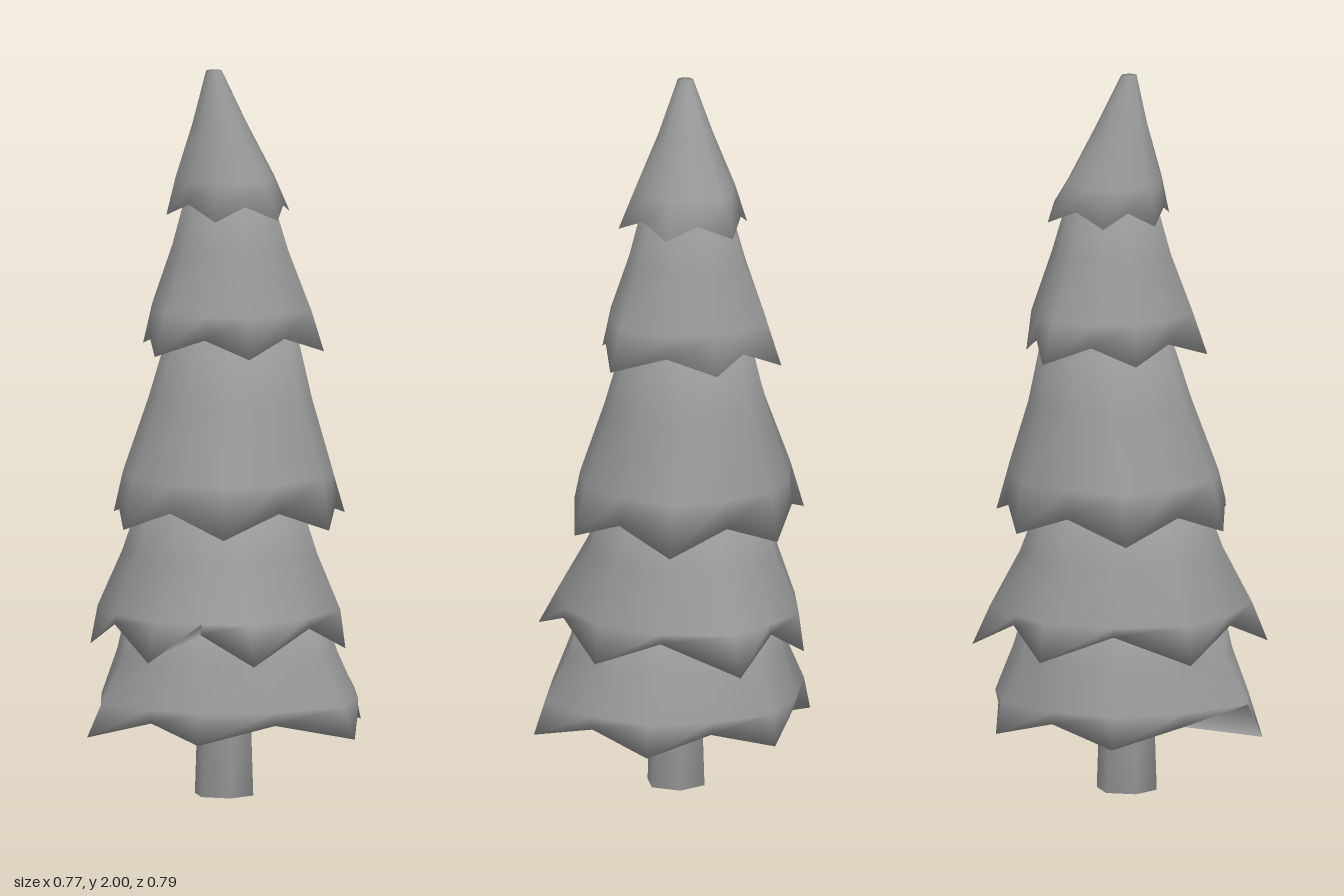
import * as THREE from 'three';

const { lerp, degToRad } = THREE.MathUtils;
const material = new THREE.MeshStandardMaterial({ color: 0x999999, side: THREE.DoubleSide });

// Top and hem: height y and centre x, z. tips: angle in degrees. reach: length of each tip.
const tiers = [
  { name: 'bottomTier', top: [0.52, -0.025, 0.01], topRadius: 0.27, hem: [0.185, 0, 0], lift: 0.05, tips: [18, 88, 136, 200, 260, 319], reach: [0.405, 0.37, 0.45, 0.395, 0.376, 0.375] },
  { name: 'lowerTier', top: [0.82, -0.04, 0], topRadius: 0.22, hem: [0.41, -0.04, 0], lift: 0.08, tips: [-7, 60, 102, 166, 238, 286], reach: [0.347, 0.43, 0.4, 0.358, 0.348, 0.41] },
  { name: 'middleTier', top: [1.28, -0.02, -0.04], topRadius: 0.175, hem: [0.75, -0.03, -0.01], lift: 0.06, tips: [13, 73, 133, 194, 256, 314], reach: [0.33, 0.36, 0.32, 0.36, 0.325, 0.37] },
  { name: 'upperTier', top: [1.66, -0.025, -0.025], topRadius: 0.12, hem: [1.23, -0.02, -0.035], lift: 0.05, tips: [0, 61, 121, 180, 238, 286], reach: [0.265, 0.25, 0.28, 0.255, 0.276, 0.223] },
  { name: 'topTier', top: [2, -0.055, 0.015], topRadius: 0.022, hem: [1.6, -0.025, -0.03], lift: 0.04, tips: [28, 85, 153, 204, 265, 328], reach: [0.19, 0.175, 0.175, 0.17, 0.185, 0.17] },
];

// Closed ring around a centre; radius and rise are given per column
function makeRing([y, x, z], angles, radiusAt, riseAt = () => 0) {
  return angles.map((angle, i) => {
    const a = degToRad(angle);
    const r = radiusAt(i);
    return new THREE.Vector3(x + r * Math.cos(a), y + riseAt(i), z + r * Math.sin(a));
  });
}

// Smooth skin over rings, from the top down
function makeSkin(name, rings) {
  const n = rings[0].length;
  const index = [];
  for (let j = 0; j < rings.length - 1; j++) {
    for (let i = 0; i < n; i++) {
      const a = j * n + i;
      const b = j * n + (i + 1) % n;
      index.push(a, b, b + n, a, b + n, a + n);
    }
  }
  const geometry = new THREE.BufferGeometry().setFromPoints(rings.flat());
  geometry.setIndex(index);
  geometry.computeVertexNormals();
  const mesh = new THREE.Mesh(geometry, material);
  mesh.name = name;
  return mesh;
}

function makeTier({ name, top, topRadius, hem, lift, tips, reach }, under, underRadius) {
  // Tips on even columns, shorter raised valleys between them
  const angles = tips.flatMap((a, k) => [a, (a + (k < 5 ? tips[k + 1] : tips[0] + 360)) / 2]);
  const hemRadii = reach.flatMap((r, k) => [r, 0.435 * (r + reach[(k + 1) % 6])]);
  const mean = hemRadii.reduce((sum, r) => sum + r, 0) / hemRadii.length;

  // Body widens downwards and turns from round to the hem outline
  const bodyRing = (t, pull, bulge = 1) => {
    const r = lerp(topRadius, mean, t) * bulge;
    const centre = top.map((v, k) => lerp(v, hem[k], t));
    return makeRing(centre, angles, (i) => r * lerp(1, hemRadii[i] / mean, pull));
  };

  return makeSkin(name, [
    makeRing(top, angles, () => 0),
    bodyRing(0, 0.1),
    bodyRing(0.36, 0.25),
    bodyRing(0.74, 0.5, 1.05),
    makeRing(hem, angles, (i) => hemRadii[i], (i) => (i % 2 ? lift : 0)),
    // underside, running in to the tier below
    makeRing(under, angles, () => underRadius),
  ]);
}

export function createModel() {
  const model = new THREE.Group();
  model.name = 'pineTree';

  // Foliage, each tier sitting on the one below
  const foliage = new THREE.Group();
  foliage.name = 'foliage';
  let under = [0.34, -0.025, 0.018];
  let underRadius = 0.06;
  for (const tier of tiers) {
    foliage.add(makeTier(tier, under, underRadius));
    under = tier.top;
    underRadius = tier.topRadius;
  }
  model.add(foliage);

  // Trunk with a closed foot
  const sides = [0, 60, 120, 180, 240, 300];
  const trunkRing = (y, r) => makeRing([y, -0.025, 0.018], sides, () => r);
  model.add(makeSkin('trunk', [trunkRing(0.42, 0.07), trunkRing(0, 0.084), trunkRing(0, 0)]));

  return model;
}
